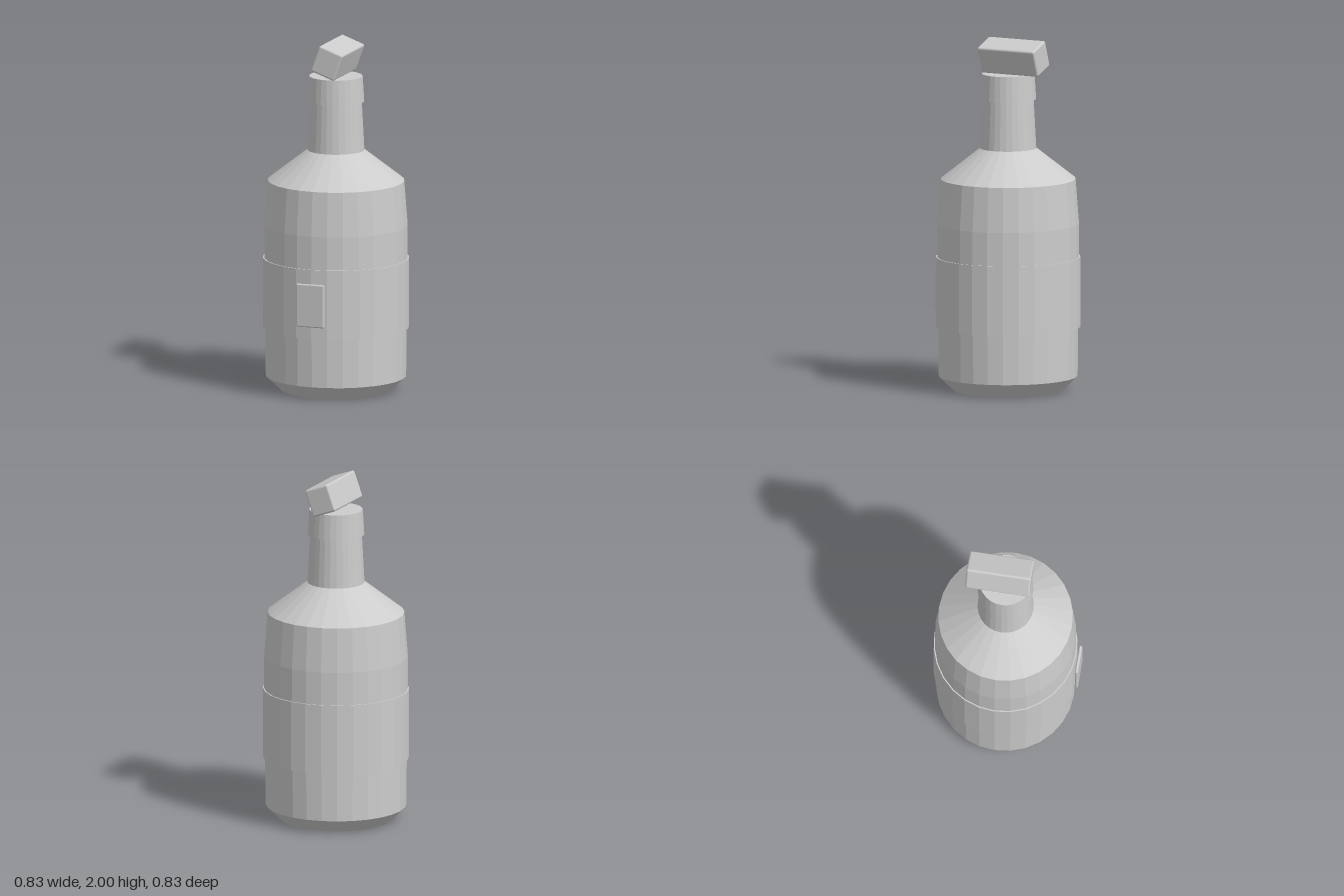
import * as THREE from 'three';
import { RoundedBoxGeometry } from 'three/addons/geometries/RoundedBoxGeometry.js';

const SIDES = 28;
const DEPTH_SCALE = 0.981; // the bottle is slightly narrower front to back
const CENTRE_Z = -0.01;

export function createModel() {
  const model = new THREE.Group();
  model.name = 'bottle';

  const grey = new THREE.MeshStandardMaterial({ color: 0xcccccc });
  grey.name = 'light grey';
  const facetedGrey = grey;

  function addMesh(name, geometry, x, y, z) {
    const mesh = new THREE.Mesh(geometry, facetedGrey);
    mesh.name = name;
    mesh.position.set(x, y, z);
    model.add(mesh);
    return mesh;
  }

  // Faceted turned part from [radius, height] points, listed bottom to top
  function addTurned(name, profile) {
    const points = profile.map(([r, y]) => new THREE.Vector2(r, y));
    const geometry = new THREE.LatheGeometry(points, SIDES)
      .scale(1, 1, DEPTH_SCALE)
      .toNonIndexed();
    geometry.computeVertexNormals();
    return addMesh(name, geometry, 0, 0, CENTRE_Z);
  }

  // Body with chamfered foot, shoulder and tapering neck
  addTurned('body', [
    [0, 0], [0.315, 0], [0.4, 0.08], [0.402, 0.36], [0.408, 0.76],
    [0.408, 0.95], [0.388, 1.205], [0.162, 1.38], [0.147, 1.66],
  ]);

  // Wrapped band around the belly
  addTurned('labelBand', [[0.4, 0.36], [0.415, 0.36], [0.415, 0.76], [0.4, 0.76]]);

  // Collar at the mouth, closed on top
  addTurned('collar', [[0.14, 1.66], [0.161, 1.66], [0.152, 1.805], [0, 1.805]]);

  // Small raised plate on the front of the band
  addMesh('frontPlate', new RoundedBoxGeometry(0.168, 0.248, 0.018, 3, 0.008), 0, 0.555, 0.408);

  // Tilted block resting on the mouth
  const stopper = addMesh('stopper', new RoundedBoxGeometry(0.15, 0.16, 0.369, 3, 0.012), -0.002, 1.902, -0.043);
  stopper.rotation.z = THREE.MathUtils.degToRad(-20);

  return model;
}
